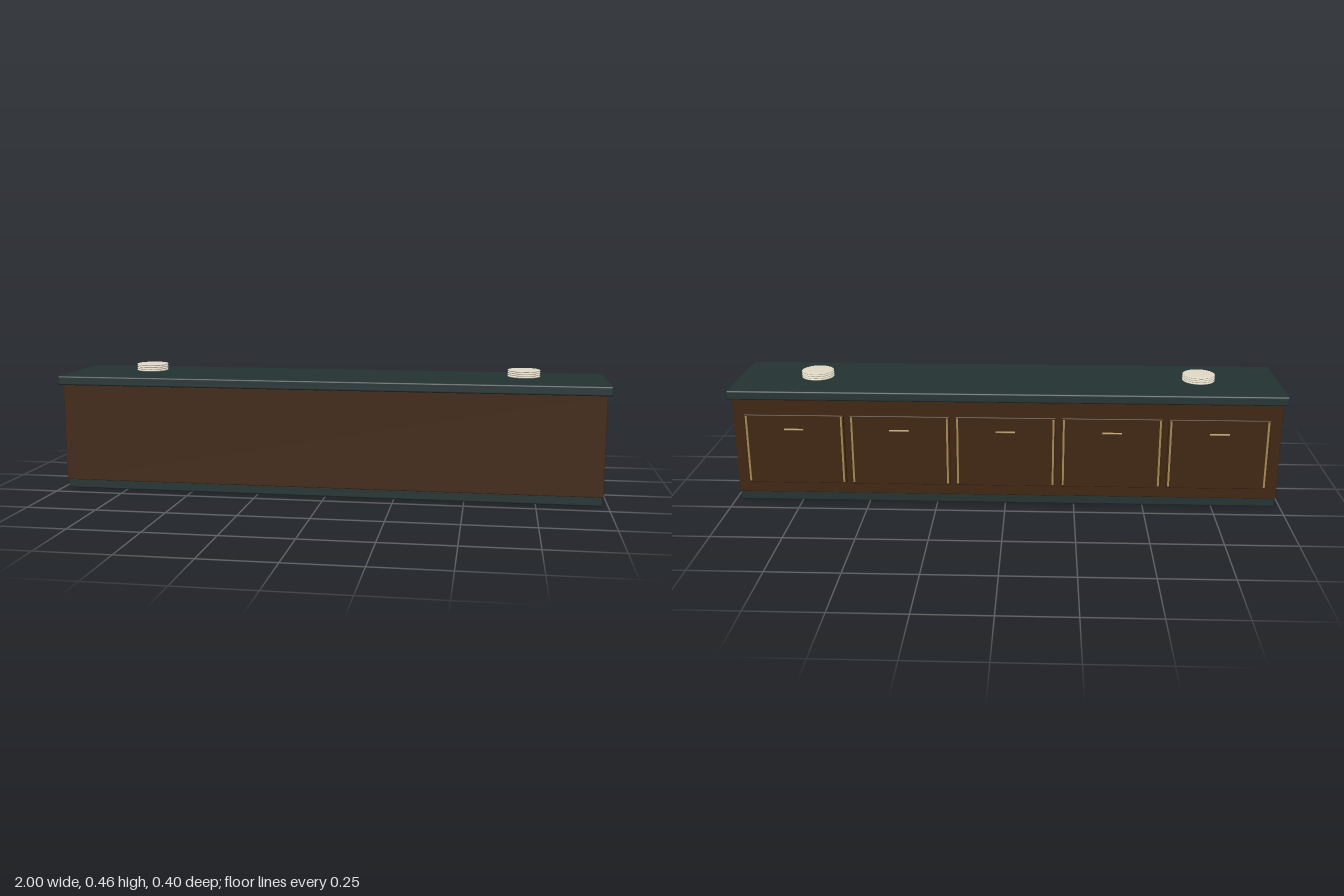
import * as THREE from 'three';
import { RoundedBoxGeometry } from 'three/addons/geometries/RoundedBoxGeometry.js';

const material = (name, color) => {
  const m = new THREE.MeshStandardMaterial({ color });
  m.name = name;
  return m;
};

export function createModel() {
  const wood = material('dark walnut', 0x40250f);
  const stone = material('dark slate', 0x243232);
  const brass = material('brass', 0xa58a52);
  const china = material('cream china', 0xe2dac8);

  const model = new THREE.Group();
  model.name = 'counter';

  const add = (parent, name, geometry, mat, x = 0, y = 0, z = 0) => {
    const mesh = new THREE.Mesh(geometry, mat);
    mesh.name = name;
    mesh.position.set(x, y, z);
    parent.add(mesh);
    return mesh;
  };
  const box = (w, h, d, r) => new RoundedBoxGeometry(w, h, d, 2, r);

  // Carcass between a recessed plinth and an overhanging worktop
  add(model, 'plinth', box(1.96, 0.038, 0.359, 0.005), stone, 0, 0.019, 0.005);
  add(model, 'cabinetBody', box(1.966, 0.36, 0.364, 0.003), wood, 0, 0.212, 0.005);
  add(model, 'worktop', box(2, 0.034, 0.388, 0.006), stone, 0, 0.407, 0.005);

  // Five doors on the back, each with two upright trims and a bar handle
  const doorGeometry = box(0.362, 0.262, 0.014, 0.003);
  const trimGeometry = box(0.007, 0.25, 0.0045, 0.001);
  const handleGeometry = new THREE.CylinderGeometry(0.0035, 0.0035, 0.07, 12).rotateZ(Math.PI / 2);
  for (let i = -2; i <= 2; i++) {
    const door = new THREE.Group();
    door.name = 'door';
    door.position.x = i * 0.381;
    add(door, 'doorPanel', doorGeometry, wood, 0, 0.204, -0.18);
    for (const side of [-1, 1]) {
      add(door, 'doorTrim', trimGeometry, brass, side * 0.172, 0.205, -0.1895);
    }
    add(door, 'doorHandle', handleGeometry, brass, 0, 0.283, -0.1955);
    model.add(door);
  }

  // A stack of four thin plates near each end of the worktop
  const plateProfile = [
    [0, 0], [0.054, 0], [0.058, 0.0015], [0.0592, 0.003], [0.058, 0.0045], [0.055, 0.0058], [0, 0.0062],
  ].map(([r, y]) => new THREE.Vector2(r, y));
  const plateGeometry = new THREE.LatheGeometry(plateProfile, 40);
  for (const side of [-1, 1]) {
    const stack = new THREE.Group();
    stack.name = 'plateStack';
    stack.position.set(side * 0.702, 0.428, -0.01);
    for (let i = 0; i < 4; i++) add(stack, 'plate', plateGeometry, china, 0, i * 0.007, 0);
    model.add(stack);
  }

  return model;
}
